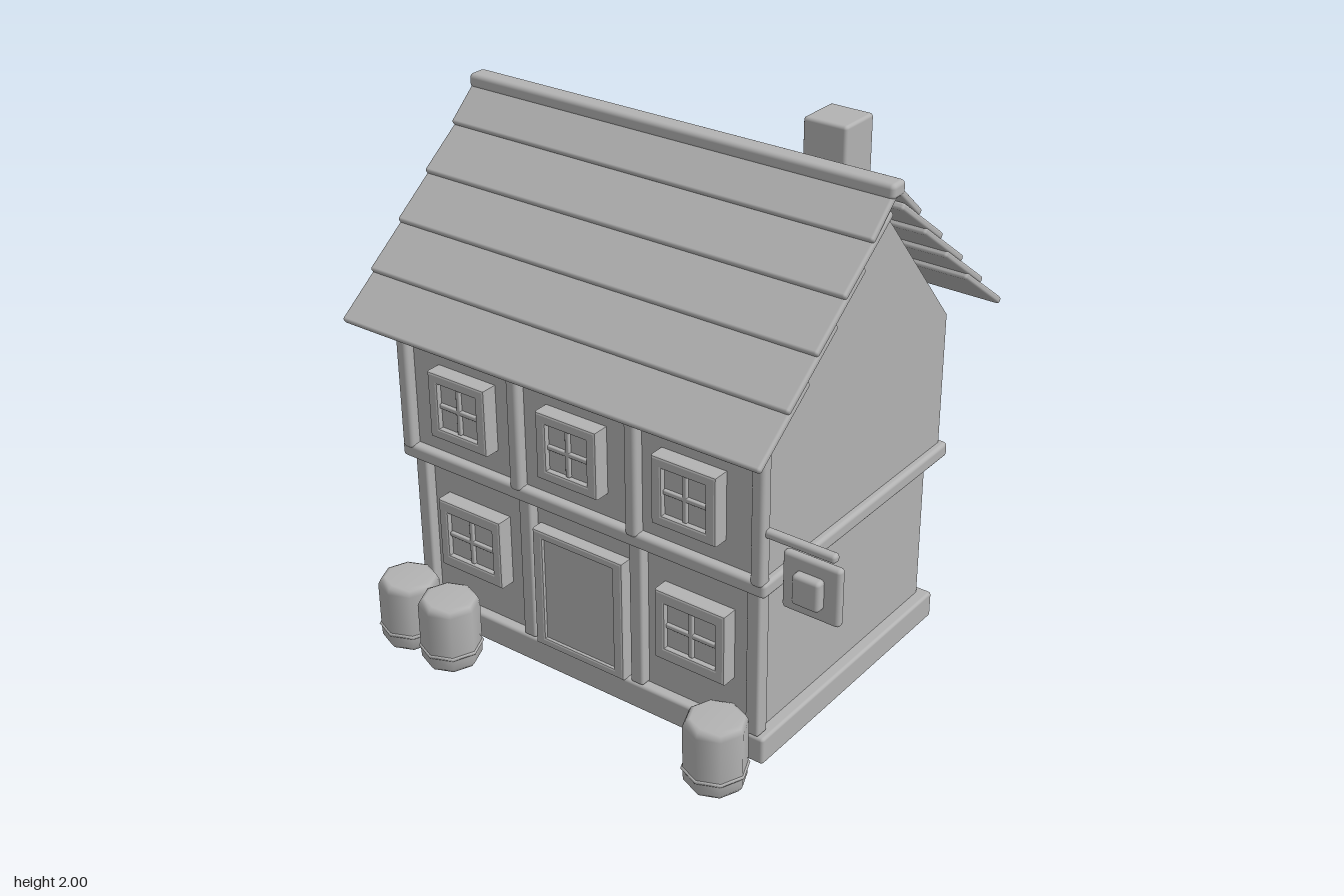
import * as THREE from 'three';
import { RoundedBoxGeometry } from 'three/addons/geometries/RoundedBoxGeometry.js';

const CX = -0.095, CZ = -0.045; // centre of the house body

export function createModel() {
  const house = new THREE.Group();
  house.name = 'timberHouse';
  const grey = new THREE.MeshStandardMaterial({ color: 0xb2b2b2 });
  grey.name = 'plain grey';

  const add = (name, geometry, x, y, z, parent = house) => {
    const mesh = new THREE.Mesh(geometry, grey);
    mesh.name = name;
    mesh.position.set(x, y, z);
    parent.add(mesh);
    return mesh;
  };
  // Box given by its limits on each axis; r rounds the edges
  const block = (name, [x0, x1], [y0, y1], [z0, z1], r = 0, parent = house) => {
    const w = x1 - x0, h = y1 - y0, d = z1 - z0;
    const g = r ? new RoundedBoxGeometry(w, h, d, 2, r) : new THREE.BoxGeometry(w, h, d);
    return add(name, g, (x0 + x1) / 2, (y0 + y1) / 2, (z0 + z1) / 2, parent);
  };
  const around = (c, half) => [c - half, c + half];

  // Plinth, two storeys and the band between them
  block('plinth', around(CX, 0.77), [0, 0.105], [-0.593, 0.507], 0.012);
  block('lowerStorey', around(CX, 0.725), [0.1, 0.69], [-0.556, 0.468]);
  block('floorBand', around(CX, 0.783), [0.68, 0.737], [-0.615, 0.535], 0.015);
  block('upperStorey', around(CX, 0.757), [0.73, 1.24], [-0.59, 0.5]);

  // Timber posts on the front
  for (const x of [-0.818, -0.336, 0.146, 0.627]) {
    block('lowerPost', around(x, 0.027), [0.105, 0.69], [0.45, 0.507], 0.01);
  }
  for (const x of [-0.847, -0.347, 0.153, 0.656]) {
    block('upperPost', around(x, 0.025), [0.72, 1.232], [0.49, 0.54], 0.015);
  }

  // Gable triangles
  const triangle = new THREE.Shape([
    new THREE.Vector2(-0.547, 1.24), new THREE.Vector2(0.547, 1.24), new THREE.Vector2(0, 1.89),
  ]);
  const gable = new THREE.ExtrudeGeometry(triangle, { depth: 0.008, bevelEnabled: false })
    .rotateY(Math.PI / 2);
  add('rightGable', gable, CX - 0.757, 0, CZ);
  add('leftGable', gable, CX + 0.749, 0, CZ);

  // Overlapping roof planks, five on each slope
  const plankTilt = 0.64;
  for (const side of [1, -1]) {
    for (let i = 0; i < 5; i++) {
      const top = i === 4;
      const tilt = top ? 0.73 : plankTilt;
      const length = top ? 0.2 : 0.325;
      const out = 0.735 - i * 0.148 - Math.cos(tilt) * length / 2;
      const y = 1.25 + i * 0.1335 + Math.sin(tilt) * length / 2;
      const plank = add('roofPlank', new RoundedBoxGeometry(1.725, 0.026, length, 2, 0.01),
        CX, y, CZ + side * out);
      plank.rotation.x = side * tilt;
    }
  }
  block('ridgeBeam', [-0.963, 0.772], [1.885, 1.938], around(-0.04, 0.038), 0.016);
  block('chimney', [0.305, 0.472], [1.4, 2], [-0.366, -0.2], 0.012);

  // Flat frame with a rectangular opening and softened edges
  const frame = (w, h, iw, ih, depth) => {
    const rect = (Type, a, b) => new Type([[-a, -b], [a, -b], [a, b], [-a, b]]
      .map(([x, y]) => new THREE.Vector2(x, y)));
    const bevel = 0.008;
    const shape = rect(THREE.Shape, w - bevel, h - bevel);
    shape.holes.push(rect(THREE.Path, iw + bevel, ih + bevel));
    return new THREE.ExtrudeGeometry(shape, {
      depth: depth - 2 * bevel, bevelThickness: bevel, bevelSize: bevel, bevelSegments: 2,
    }).translate(0, 0, bevel);
  };

  // Windows: frame, pane and crossed glazing bars
  const windowUnit = (x, y, z, w, h, iw, ih, depth) => {
    const unit = new THREE.Group();
    unit.name = 'window';
    unit.position.set(x, y, z);
    add('windowFrame', frame(w, h, iw, ih, depth), 0, 0, 0, unit);
    add('windowPane', new THREE.BoxGeometry(iw * 2.1, ih * 2.1, 0.02), 0, 0, depth - 0.03, unit);
    add('uprightBar', new RoundedBoxGeometry(0.018, ih * 2, 0.02, 2, 0.005), 0, 0, depth - 0.018, unit);
    add('crossBar', new RoundedBoxGeometry(iw * 2, 0.018, 0.02, 2, 0.005), 0, 0, depth - 0.018, unit);
    house.add(unit);
  };
  for (const x of [-0.577, -0.095, 0.387]) windowUnit(x, 0.955, 0.495, 0.128, 0.127, 0.086, 0.087, 0.068);
  for (const x of [-0.58, 0.388]) windowUnit(x, 0.413, 0.463, 0.143, 0.136, 0.103, 0.088, 0.068);

  // Front door
  add('doorFrame', frame(0.196, 0.238, 0.153, 0.205, 0.055), -0.098, 0.342, 0.465);
  block('doorPanel', around(-0.098, 0.155), [0.105, 0.548], [0.46, 0.508]);

  // Hanging sign
  block('signArm', [0.64, 0.937], [0.904, 0.935], [0.49, 0.524], 0.012);
  block('signBoard', [0.745, 0.96], [0.677, 0.89], [0.491, 0.525], 0.014);
  block('signBoss', [0.8, 0.903], [0.727, 0.838], [0.51, 0.558], 0.014);

  // Eight-sided barrels with a hoop near the foot
  const profile = [[0, 0], [0.095, 0], [0.108, 0.018], [0.11, 0.06], [0.11, 0.235], [0.1, 0.255], [0.085, 0.262], [0, 0.262]]
    .map(([r, y]) => new THREE.Vector2(r, y));
  for (const [x, z] of [[-0.785, 0.645], [-0.577, 0.66], [0.592, 0.66]]) {
    const barrel = new THREE.Group();
    barrel.name = 'barrel';
    barrel.position.set(x, 0, z);
    add('barrelBody', new THREE.LatheGeometry(profile, 8), 0, 0, 0, barrel);
    add('barrelHoop', new THREE.TorusGeometry(0.11, 0.007, 6, 8).rotateX(Math.PI / 2), 0, 0.064, 0, barrel);
    house.add(barrel);
  }
  return house;
}
